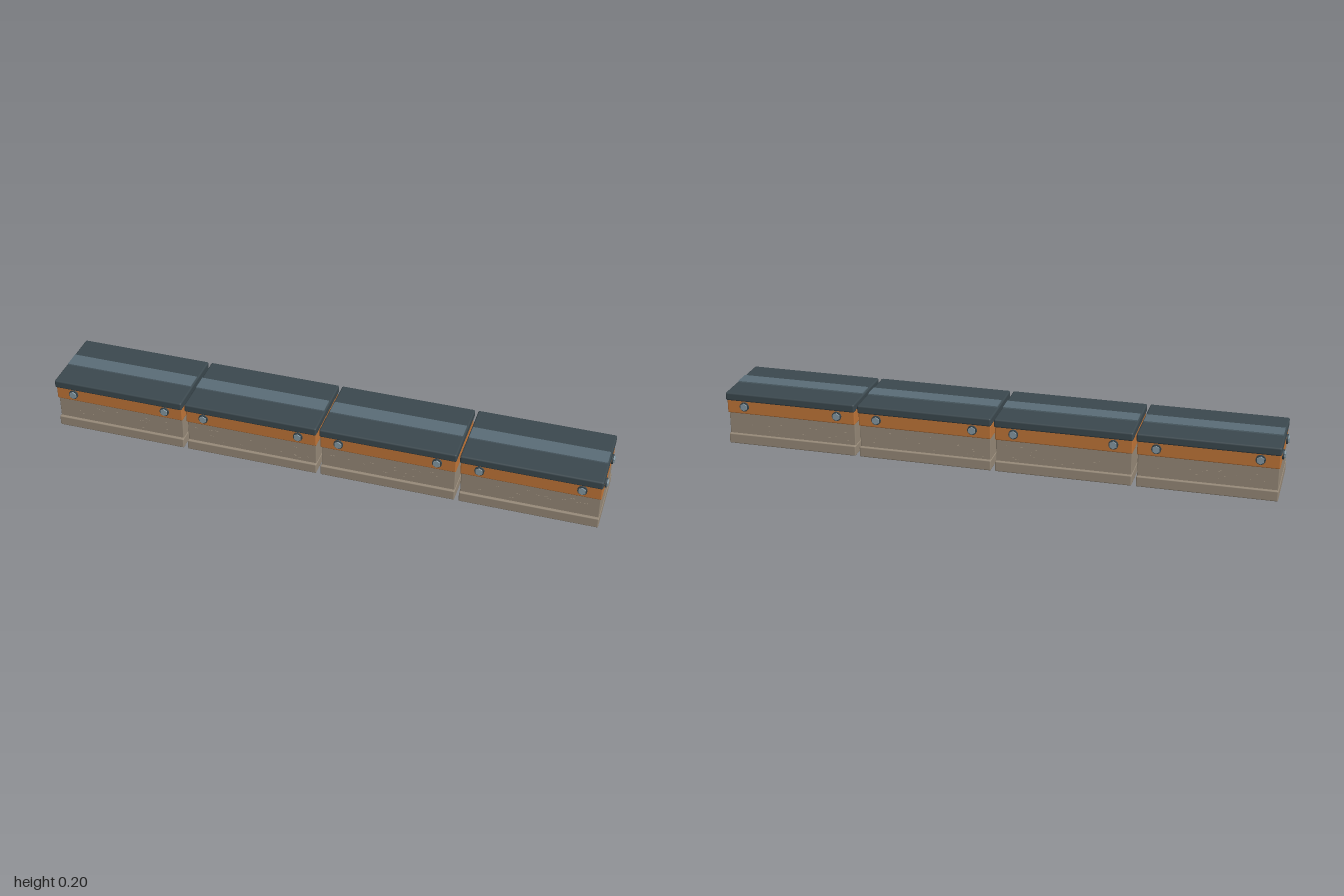
import * as THREE from 'three';
import { RoundedBoxGeometry } from 'three/addons/geometries/RoundedBoxGeometry.js';

const mat = (name, color) => {
  const m = new THREE.MeshStandardMaterial({ color });
  m.name = name;
  return m;
};

export function createModel() {
  const concrete = mat('concrete', 0x968978);
  const orange = mat('orange paint', 0xc07538);
  const dark = mat('dark metal', 0x3b484e);
  const strip = mat('tread strip', 0x5a6d77);
  const steel = mat('bolt steel', 0x869aa5);

  const model = new THREE.Group();
  model.name = 'segmentedBarrier';

  const add = (parent, name, geometry, material, x = 0, y = 0, z = 0) => {
    const mesh = new THREE.Mesh(geometry, material);
    mesh.name = name;
    mesh.position.set(x, y, z);
    parent.add(mesh);
    return mesh;
  };

  let seed = 7;
  const rand = () => (seed = (seed * 16807) % 2147483647) / 2147483647;

  // Shared geometry
  const bodyGeo = new RoundedBoxGeometry(0.478, 0.112, 0.244, 2, 0.003);
  const footGeo = new RoundedBoxGeometry(0.482, 0.038, 0.264, 2, 0.004);
  const bandGeo = new RoundedBoxGeometry(0.482, 0.052, 0.26, 2, 0.004);
  const capGeo = new RoundedBoxGeometry(0.486, 0.03, 0.277, 2, 0.006);
  const stripGeo = new THREE.BoxGeometry(0.476, 0.005, 0.062);
  const washerGeo = new THREE.CylinderGeometry(0.017, 0.017, 0.006, 20).rotateX(Math.PI / 2);
  const headGeo = new THREE.CylinderGeometry(0.0135, 0.0135, 0.007, 6).toNonIndexed().rotateX(Math.PI / 2);
  headGeo.computeVertexNormals();

  // A bolt faces +z before it is turned
  const addBolt = (parent, x, z, turn) => {
    const bolt = new THREE.Group();
    bolt.name = 'bolt';
    add(bolt, 'washer', washerGeo, dark, 0, 0, 0.003);
    add(bolt, 'hexHead', headGeo, steel, 0, 0, 0.0075);
    bolt.position.set(x, 0.147, z);
    bolt.rotation.y = turn;
    parent.add(bolt);
  };

  for (let i = 0; i < 4; i++) {
    const segment = new THREE.Group();
    segment.name = 'segment' + (i + 1);
    segment.position.x = (i - 1.5) * 0.497;
    model.add(segment);

    add(segment, 'foot', footGeo, concrete, 0, 0.019, 0);
    add(segment, 'body', bodyGeo, concrete, 0, 0.074, 0);
    add(segment, 'band', bandGeo, orange, 0, 0.144, 0);
    add(segment, 'cap', capGeo, dark, 0, 0.183, 0);
    add(segment, 'topStrip', stripGeo, strip, 0, 0.2, 0);

    for (const side of [1, -1]) {
      for (const x of [-0.175, 0.175]) {
        addBolt(segment, x, side * 0.1295, side > 0 ? 0 : Math.PI);
      }
      // Small raised flecks on the long faces
      for (let k = 0; k < 14; k++) {
        const fleck = new THREE.BoxGeometry(0.006 + rand() * 0.008, 0.0025, 0.002);
        add(segment, 'fleck', fleck, concrete,
          (rand() - 0.5) * 0.42, 0.047 + rand() * 0.05, side * 0.1225);
      }
    }
  }

  // Bolts on the two outer ends
  for (const side of [1, -1]) {
    for (const z of [-0.067, 0.067]) addBolt(model, side * 0.9865 , z, side * Math.PI / 2);
  }
  return model;
}
